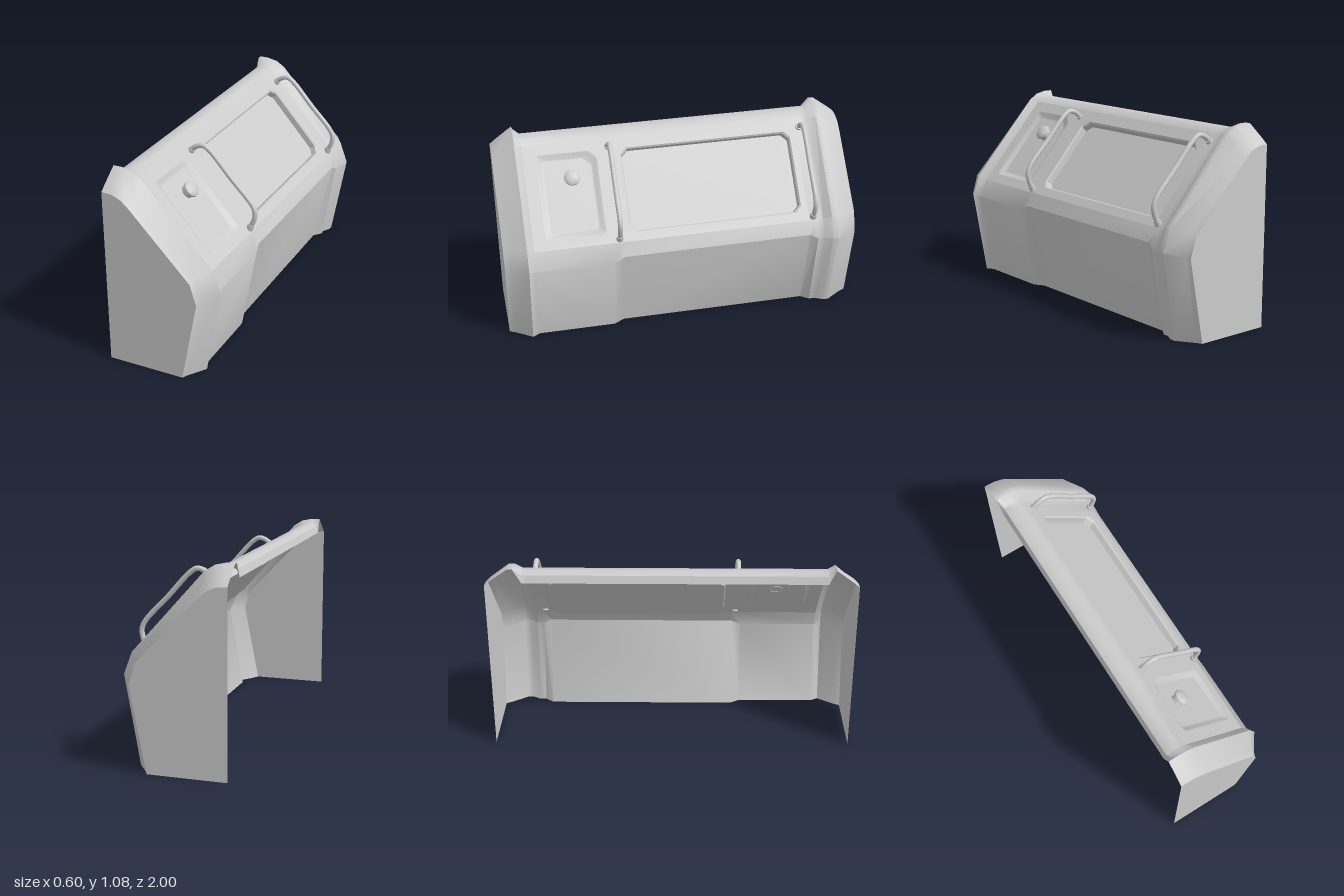
import * as THREE from 'three';
import { toCreasedNormals } from 'three/addons/utils/BufferGeometryUtils.js';

const material = new THREE.MeshStandardMaterial({ color: 0xcccccc, side: THREE.DoubleSide });

function addMesh(parent, name, geometry) {
  const mesh = new THREE.Mesh(geometry, material);
  mesh.name = name;
  parent.add(mesh);
  return mesh;
}

// Skin a list of equal-length rows of Vector3; skip(row, column) leaves a quad open
function skin(rows, skip = () => false, crease = 0.65) {
  const n = rows[0].length, index = [];
  for (let r = 0; r < rows.length - 1; r++) {
    for (let c = 0; c < n - 1; c++) {
      if (skip(r, c)) continue;
      const a = r * n + c, b = a + n;
      index.push(a, b, a + 1, b, b + 1, a + 1);
    }
  }
  const geometry = new THREE.BufferGeometry().setFromPoints(rows.flat());
  geometry.setIndex(index);
  return toCreasedNormals(geometry, crease);
}

// Cross-sections (x, y) from the back lip over the slope to the foot
const upper = [[-0.3, 1.0], [-0.285, 1.04], [-0.25, 1.055], [-0.205, 1.05], [-0.17, 1.022], [0.225, 0.575]];
const middle = [...upper, [0.26, 0.5], [0.15, 0]];
const body = [...upper, [0.27, 0.475], [0.185, 0]];
const ridge = [[-0.3, 1.08], [-0.28, 1.08], [-0.25, 1.08], [-0.19, 1.067], [-0.14, 1.035], [0.25, 0.6], [0.295, 0.48], [0.21, 0]];
const bevel = [[-0.3, 1.01], [-0.27, 1.012], [-0.235, 1.01], [-0.19, 0.985], [-0.14, 0.94], [0.195, 0.59], [0.23, 0.465], [0.145, 0]];
const end = [[-0.3, 0.985], [-0.27, 0.985], [-0.235, 0.98], [-0.19, 0.96], [-0.145, 0.92], [0.185, 0.575], [0.22, 0.46], [0.13, 0]];

const stations = [
  [1, end], [0.97, bevel], [0.875, ridge], [0.835, body], [0.4, body], [0.345, middle],
  [-0.72, middle], [-0.765, body], [-0.8, body], [-0.845, ridge], [-0.875, ridge], [-0.97, bevel], [-1, end],
];

// Rectangle with cut corners, running round from the low u, low v corner
function cutRect(u0, u1, v0, v1, cuts) {
  const [a, b, c, d] = cuts;
  return [
    [u0 + a, v0], [u1 - b, v0], [u1, v0 + b], [u1, v1 - c],
    [u1 - c, v1], [u0 + d, v1], [u0, v1 - d], [u0, v0 + a],
  ].map(([u, v]) => new THREE.Vector2(u, v));
}

// Sunken panel made of nested rings [inset, depth] and a flat floor
function addRecess(parent, name, [u0, u1, v0, v1], cuts, rings) {
  const ring = (inset) => cutRect(u0 + inset, u1 - inset, v0 + inset, v1 - inset, cuts);
  const group = new THREE.Group();
  group.name = name;
  parent.add(group);
  const rows = rings.map(([inset, depth]) => {
    const row = ring(inset).map((p) => new THREE.Vector3(p.x, p.y, -depth));
    return [...row, row[0].clone()];
  });
  addMesh(group, name + 'Wall', skin(rows, undefined, 0.5));
  const [inset, depth] = rings[rings.length - 1];
  addMesh(group, name + 'Floor', new THREE.ShapeGeometry(new THREE.Shape(ring(inset)))).position.z = -depth;
  return new THREE.Path(ring(0));
}

export function createModel() {
  const model = new THREE.Group();
  model.name = 'console';

  // Thin outer shell, left open where the sloped panel sits
  const rows = stations.map(([z, profile]) => profile.map(([x, y]) => new THREE.Vector3(x, y, z)));
  addMesh(model, 'shell', skin(rows, (r, c) => c === 4 && r >= 3 && r < 6));

  // Flat side panels
  const side = new THREE.Shape([[-0.3, 0], ...end].map(([x, y]) => new THREE.Vector2(x, y)));
  for (const [name, z] of [['leftEndPanel', 1], ['rightEndPanel', -1]]) {
    const panel = addMesh(model, name, new THREE.ShapeGeometry(side));
    panel.position.z = z;
    if (z < 0) panel.scale.z = -1;
  }

  // Sloped panel frame: local x runs along z, local y down the slope, local z outwards
  const top = new THREE.Vector3(...upper[4], 0), bottom = new THREE.Vector3(...upper[5], 0);
  const along = new THREE.Vector3(0, 0, 1);
  const down = bottom.clone().sub(top).normalize();
  const out = along.clone().cross(down);
  const length = top.distanceTo(bottom);
  const slope = new THREE.Group();
  slope.name = 'slopedPanel';
  slope.applyMatrix4(new THREE.Matrix4().makeBasis(along, down, out).setPosition(top));
  model.add(slope);

  const face = new THREE.Shape(cutRect(-0.72, 0.835, 0, length, [0, 0, 0, 0]));
  face.holes.push(
    addRecess(slope, 'screenRecess', [-0.685, 0.298, 0.07, 0.545], [0.035, 0.035, 0.035, 0.035],
      [[0, 0], [0.008, 0.008], [0.01, 0.042]]),
    addRecess(slope, 'controlRecess', [0.43, 0.765, 0.065, 0.54], [0.045, 0.015, 0.015, 0.015],
      [[0, 0], [0.008, 0.003], [0.026, 0.016], [0.034, 0.018]]),
  );
  addMesh(slope, 'slopeFace', new THREE.ShapeGeometry(face));

  // Round push knob
  const knobProfile = [[0.036, -0.02], [0.036, 0.004], [0.045, 0.01], [0.045, 0.02], [0.036, 0.029], [0.018, 0.034], [0, 0.035]]
    .map(([r, h]) => new THREE.Vector2(r, h));
  const knob = addMesh(slope, 'knob', toCreasedNormals(new THREE.LatheGeometry(knobProfile, 24), 0.7));
  knob.rotation.x = Math.PI / 2;
  knob.position.set(0.58, 0.209, 0);

  // Grab handles: bent tubes with small round feet
  const bend = [[-0.145, 0.975], [-0.105, 1.012], [-0.06, 1.025], [-0.022, 1.003], [0.1, 0.87], [0.226, 0.735], [0.245, 0.69], [0.238, 0.645], [0.212, 0.59]];
  for (const [name, z] of [['leftHandle', 0.362], ['rightHandle', -0.745]]) {
    const handle = new THREE.Group();
    handle.name = name;
    handle.position.z = z;
    model.add(handle);
    const path = new THREE.CatmullRomCurve3(bend.map(([x, y]) => new THREE.Vector3(x, y, 0)), false, 'centripetal');
    addMesh(handle, 'bar', new THREE.TubeGeometry(path, 48, 0.014, 12));
    for (const t of [0, 1]) {
      const foot = addMesh(handle, 'foot', new THREE.CylinderGeometry(0.018, 0.02, 0.03, 14));
      const tangent = path.getTangent(t).multiplyScalar(t ? -1 : 1);
      foot.position.copy(path.getPoint(t)).addScaledVector(tangent, 0.012);
      foot.quaternion.setFromUnitVectors(new THREE.Vector3(0, 1, 0), tangent);
    }
  }
  return model;
}
